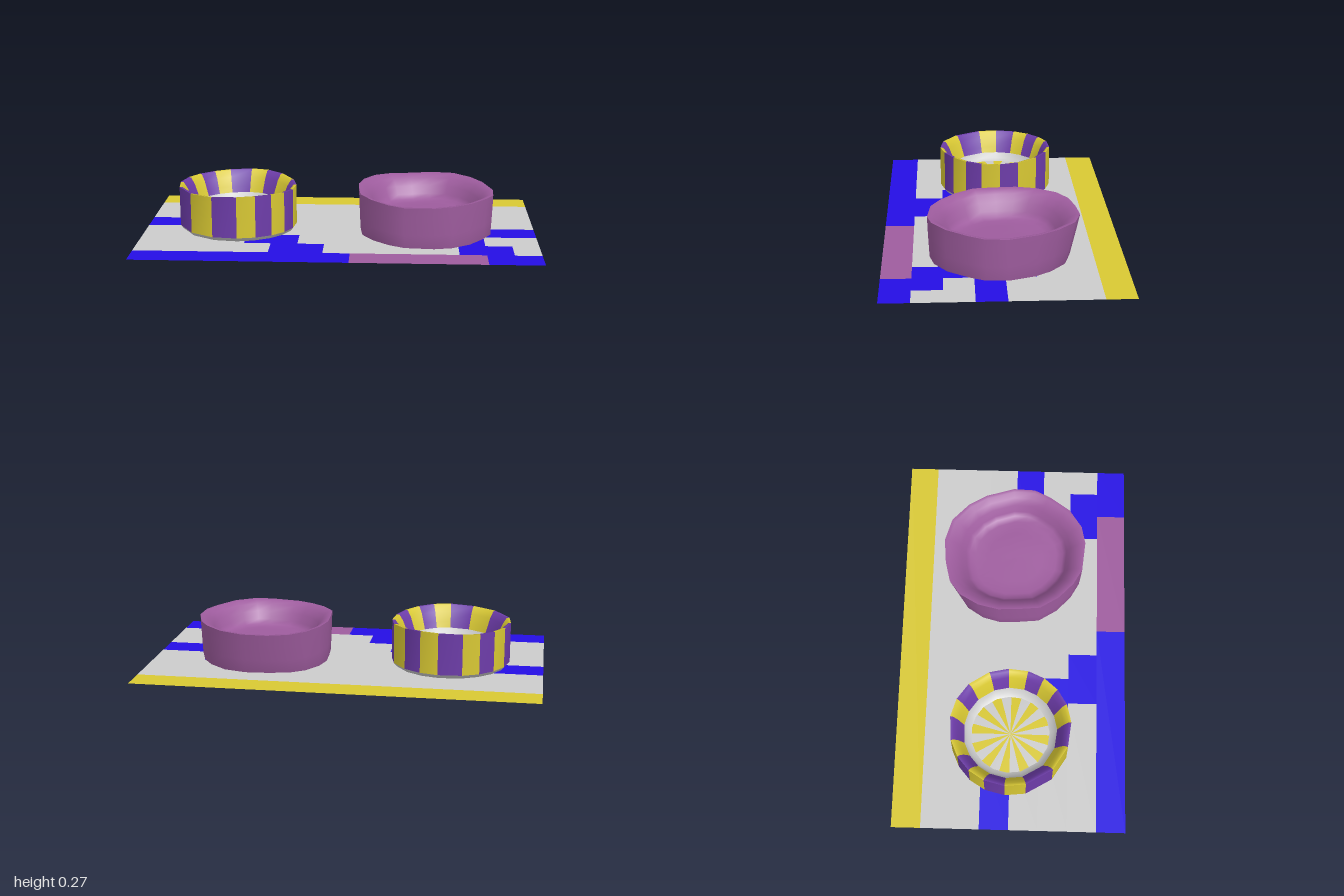
import * as THREE from 'three';
import { mergeGeometries } from 'three/addons/utils/BufferGeometryUtils.js';

const GREY = 0xcccccc, YELLOW = 0xd8c833, BLUE = 0x250de4, MAUVE = 0x9e5c9e, VIOLET = 0x6d3ca9;
const MAT_Y = 0.032;

function addMesh(parent, name, geometry, color) {
  const material = new THREE.MeshStandardMaterial({ color, side: THREE.DoubleSide });
  const mesh = new THREE.Mesh(geometry, material);
  mesh.name = name;
  parent.add(mesh);
  return mesh;
}

// Skin a profile of [scale, y] around a closed outline of [x, z].
// Returns one geometry per class given by sectorClass(sector), sharing smooth normals.
function loft(outline, profile, bend, sectorClass = () => 0, classes = 1) {
  const n = outline.length, pos = [], index = Array.from({ length: classes }, () => []);
  for (const [s, y] of profile) {
    for (const [x, z] of outline) pos.push(...bend(x * s, y, z * s));
  }
  for (let j = 0; j < profile.length - 1; j++) {
    for (let i = 0; i < n; i++) {
      const p0 = j * n + i, p1 = j * n + (i + 1) % n, q0 = p0 + n, q1 = p1 + n;
      const list = index[sectorClass(i)];
      if (profile[j][0] > 0) list.push(p0, q0, p1);
      if (profile[j + 1][0] > 0) list.push(p1, q0, q1);
    }
  }
  const whole = new THREE.BufferGeometry();
  whole.setAttribute('position', new THREE.Float32BufferAttribute(pos, 3));
  whole.setIndex(index.flat());
  whole.computeVertexNormals();
  return index.map((list) => {
    const g = new THREE.BufferGeometry();
    g.setAttribute('position', whole.attributes.position);
    g.setAttribute('normal', whole.attributes.normal);
    g.setIndex(list);
    return g;
  });
}

// Thin patterned mat: runs of [row, first column, end column] on a 15 x 8 grid
function makeMat() {
  const mat = new THREE.Group();
  mat.name = 'mat';
  const w = 2 / 15, d = 1.17 / 8;
  const runs = {
    matYellowStripe: [YELLOW, [[0, 0, 15]]],
    matMauveStripe: [MAUVE, [[7, 8, 13]]],
    matBlueSteps: [BLUE, [[3, 0, 3], [4, 3, 5], [5, 4, 6], [6, 5, 7], [7, 0, 8],
      [3, 10, 13], [4, 10, 15], [5, 12, 13], [6, 12, 14], [7, 13, 15]]],
    matGreyField: [GREY, [[1, 0, 15], [2, 0, 15], [3, 3, 10], [3, 13, 15], [4, 0, 3], [4, 5, 10],
      [5, 0, 4], [5, 6, 12], [5, 13, 15], [6, 0, 5], [6, 7, 12], [6, 14, 15]]],
  };
  for (const [name, [color, list]] of Object.entries(runs)) {
    const parts = list.map(([row, a, b]) => new THREE.PlaneGeometry((b - a) * w, d)
      .rotateX(-Math.PI / 2)
      .translate(-1 + (a + b) * w / 2, MAT_Y, -0.585 + (row + 0.5) * d));
    addMesh(mat, name, mergeGeometries(parts), color);
  }
  return mat;
}

// Soft, uneven one-colour bowl
function makePlainBowl() {
  const bowl = new THREE.Group();
  bowl.name = 'plainBowl';
  const outline = [
    [0.04, -0.37], [0.155, -0.335], [0.245, -0.25], [0.3, -0.16], [0.345, -0.015],
    [0.34, 0.095], [0.3, 0.175], [0.225, 0.28], [0.13, 0.345], [0.04, 0.365],
    [-0.11, 0.35], [-0.19, 0.305], [-0.27, 0.23], [-0.33, 0.135], [-0.34, 0.03],
    [-0.345, -0.08], [-0.32, -0.185], [-0.265, -0.28], [-0.19, -0.335], [-0.085, -0.36]];
  // slightly wavy height, back wall leaning outward
  const bend = (x, y, z) => [
    x,
    Math.max(0, y + 0.007 * Math.sin(9 * x - 0.6) * Math.min(1, y / 0.1 + 0.3) + 0.03 * z * z - 0.012 * x),
    z + 0.045 * Math.max(0, -z / 0.37) * (1 - y / 0.24)];
  const outer = [[0.64, 0.06], [0.72, 0.035], [0.8, 0.01], [0.88, 0.003], [0.94, 0.012], [0.975, 0.032],
    [0.985, 0.1], [0.995, 0.18], [1, 0.24]];
  const inner = [[1, 0.24], [0.95, 0.239], [0.87, 0.222], [0.79, 0.19], [0.74, 0.15], [0.69, 0.128],
    [0.6, 0.12], [0.4, 0.125], [0.2, 0.128], [0, 0.128]];
  addMesh(bowl, 'plainBowlOutside', loft(outline, outer, bend)[0], MAUVE);
  addMesh(bowl, 'plainBowlInside', loft(outline, inner, bend)[0], MAUVE);
  bowl.position.x = 0.44;
  return bowl;
}

// Striped bowl with a grey foot and a rayed floor
function makeStripedBowl() {
  const bowl = new THREE.Group();
  bowl.name = 'stripedBowl';
  const stripeEdges = [16, 33, 50, 67, 85, 109, 135, 164, 184, 204, 221, 238, 255, 278, 296, 315, 338, 357];
  const ring = (degrees) => degrees.map((a) => {
    const t = THREE.MathUtils.degToRad(a);
    return [0.302 * Math.cos(t), 0.302 * Math.sin(t)];
  });
  const bend = (x, y, z) => [
    x, y - 0.014 * x + 0.005 * Math.sin(10 * x) * Math.min(1, y / 0.2) + 0.1 * z * z * Math.min(1, y / 0.26), z];
  const outline = ring(stripeEdges);

  const foot = [[0.72, 0.06], [0.79, 0.04], [0.88, 0.03], [0.95, 0.037], [1, 0.055]];
  addMesh(bowl, 'stripedBowlFoot', loft(outline, foot, bend)[0], GREY);

  const walls = {
    Outside: [[1, 0.055], [1, 0.16], [1, 0.258]],
    Inside: [[1, 0.258], [0.95, 0.257], [0.88, 0.225], [0.82, 0.18], [0.78, 0.15]],
  };
  for (const [side, profile] of Object.entries(walls)) {
    const [violet, yellow] = loft(outline, profile, bend, (i) => i % 2, 2);
    addMesh(bowl, 'violetStripes' + side, violet, VIOLET);
    addMesh(bowl, 'yellowStripes' + side, yellow, YELLOW);
  }
  addMesh(bowl, 'innerBand', loft(outline, [[0.78, 0.15], [0.73, 0.122], [0.65, 0.11]], bend)[0], GREY);

  const rays = ring(Array.from({ length: 24 }, (_, i) => i * 15));
  const [yellowRays, greyRays] = loft(rays, [[0.66, 0.111], [0.35, 0.115], [0, 0.117]], bend, (i) => i % 2, 2);
  addMesh(bowl, 'yellowFloorRays', yellowRays, YELLOW);
  addMesh(bowl, 'greyFloorRays', greyRays, GREY);

  bowl.position.x = -0.528;
  return bowl;
}

export function createModel() {
  const model = new THREE.Group();
  model.name = 'bowlsOnMat';
  model.add(makeMat(), makePlainBowl(), makeStripedBowl());
  return model;
}
